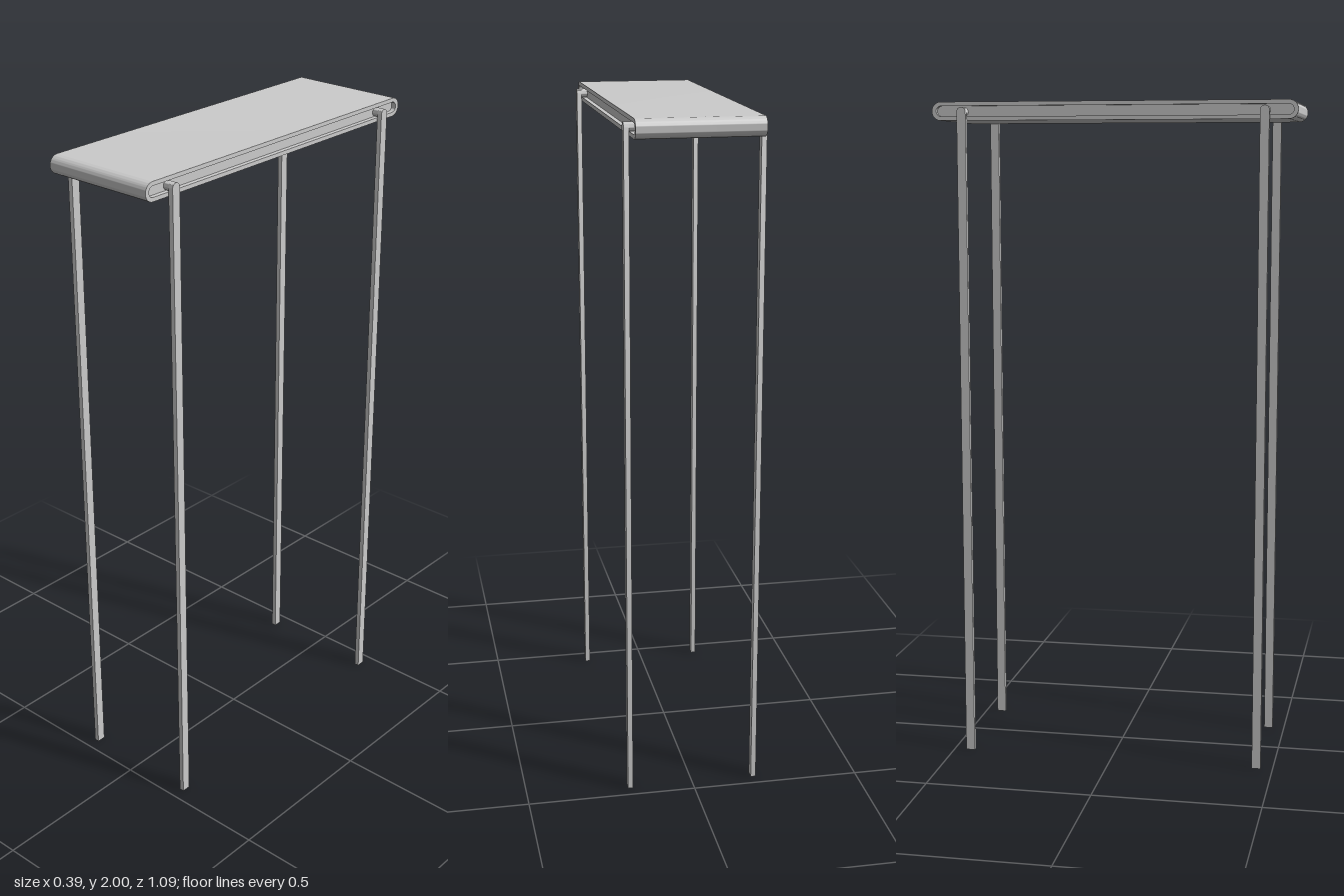
import * as THREE from 'three';
import { toCreasedNormals } from 'three/addons/utils/BufferGeometryUtils.js';

const material = new THREE.MeshStandardMaterial({ color: 0xcccccc });

// Stadium outline, long axis on the first coordinate
function stadium(Type, halfLength, radius) {
  const s = new Type();
  const c = halfLength - radius;
  s.moveTo(-c, -radius);
  s.lineTo(c, -radius);
  s.absarc(c, 0, radius, -Math.PI / 2, Math.PI / 2, false);
  s.lineTo(-c, radius);
  s.absarc(-c, 0, radius, Math.PI / 2, Math.PI * 1.5, false);
  return s;
}

// Extrude a side profile (z, y) across the width, from x0 to x1
function acrossWidth(name, shape, x0, x1) {
  let geo = new THREE.ExtrudeGeometry(shape, { depth: x1 - x0, bevelEnabled: false, curveSegments: 16 });
  geo.rotateY(-Math.PI / 2);
  geo.translate(x1, 0, 0);
  geo = toCreasedNormals(geo, 0.6);
  const mesh = new THREE.Mesh(geo, material);
  mesh.name = name;
  return mesh;
}

export function createModel() {
  const model = new THREE.Group();
  model.name = 'conveyor';
  const beltY = 1.9725;

  // Belt loop, open at both sides
  const loop = stadium(THREE.Shape, 0.545, 0.0275);
  loop.holes.push(stadium(THREE.Path, 0.532, 0.0155));
  const belt = acrossWidth('belt', loop, -0.178, 0.178);
  belt.position.y = beltY;
  model.add(belt);

  // Bed inside the loop, slightly recessed
  const bed = acrossWidth('bed', stadium(THREE.Shape, 0.532, 0.0155), -0.164, 0.164);
  bed.position.y = beltY;
  model.add(bed);

  // Flat legs with rounded tops, each pinned into the bed
  const r = 0.0135, top = 1.984;
  const legShape = new THREE.Shape();
  legShape.moveTo(-r, 0);
  legShape.lineTo(r, 0);
  legShape.lineTo(r, top - r);
  legShape.absarc(0, top - r, r, 0, Math.PI, false);
  legShape.lineTo(-r, 0);
  const pinShape = new THREE.Shape().absarc(0, top - r, r, 0, Math.PI * 2, false);

  for (const side of [-1, 1]) {
    for (const end of [-1, 1]) {
      const leg = new THREE.Group();
      leg.name = (end > 0 ? 'front' : 'back') + (side > 0 ? 'Left' : 'Right') + 'Leg';
      const post = acrossWidth('post', legShape, -0.0075, 0.0075);
      post.position.x = side * 0.1895;
      const pin = acrossWidth('pin', pinShape, -0.012, 0.012);
      pin.position.x = side * 0.172;
      leg.add(post, pin);
      leg.position.z = end * 0.45;
      model.add(leg);
    }
  }
  return model;
}
